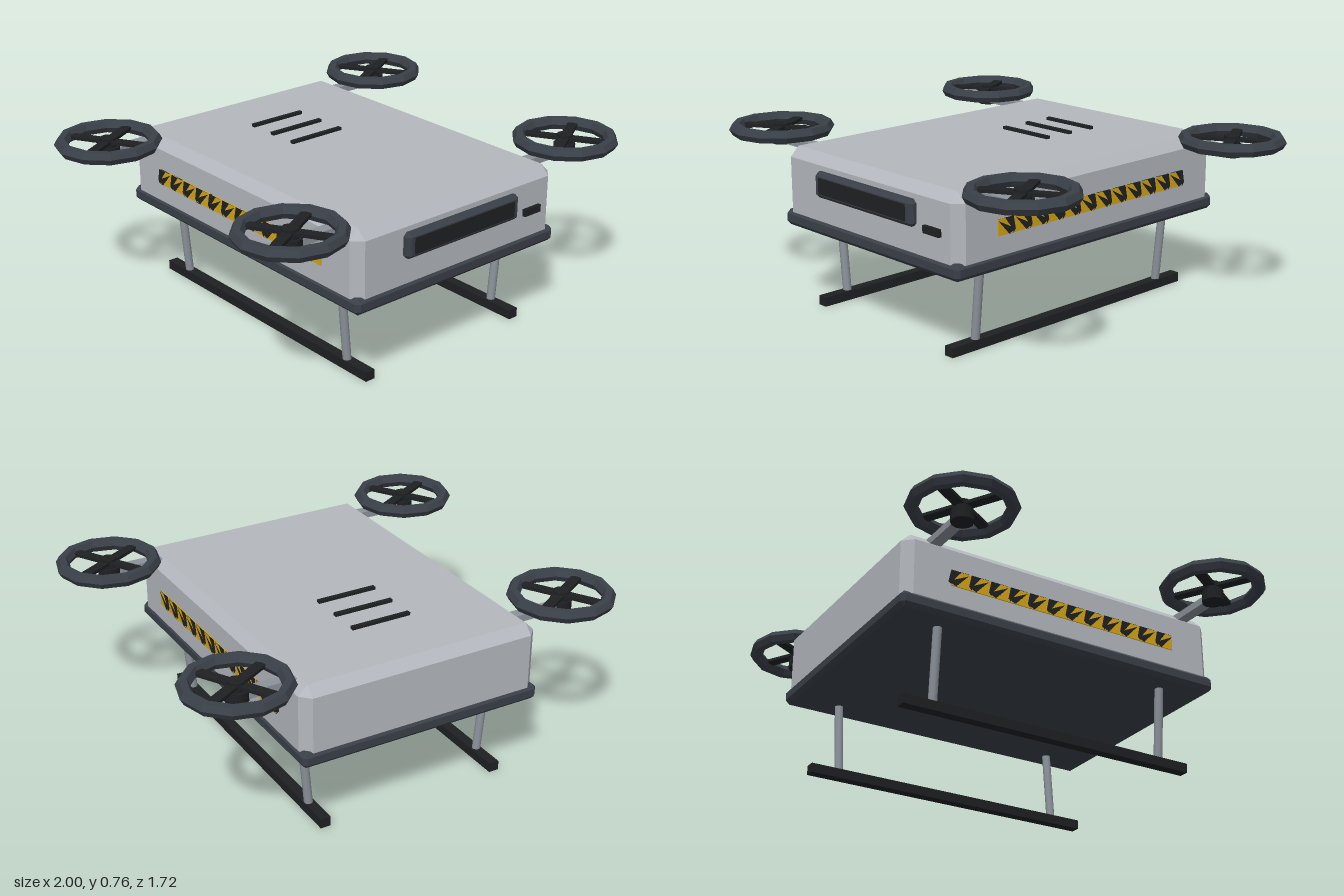
import * as THREE from 'three';
import { ConvexGeometry } from 'three/addons/geometries/ConvexGeometry.js';

const mat = (color) => new THREE.MeshStandardMaterial({ color });
const shell = mat(0xb4b8be);
const trim = mat(0x3a4048);
const black = mat(0x1e2022);
const metal = mat(0x8c939b);
const yellow = mat(0xd4a514);

function add(parent, name, geometry, material, x = 0, y = 0, z = 0) {
  const mesh = new THREE.Mesh(geometry, material);
  mesh.name = name;
  mesh.position.set(x, y, z);
  parent.add(mesh);
  return mesh;
}

const box = (w, h, d) => new THREE.BoxGeometry(w, h, d);

// Box with every edge and corner cut by c
function chamferBox(w, h, d, c) {
  const points = [];
  const [a, b, e] = [w / 2, h / 2, d / 2];
  for (const x of [-1, 1]) for (const y of [-1, 1]) for (const z of [-1, 1]) {
    points.push(
      new THREE.Vector3(x * a, y * (b - c), z * (e - c)),
      new THREE.Vector3(x * (a - c), y * b, z * (e - c)),
      new THREE.Vector3(x * (a - c), y * (b - c), z * e));
  }
  return new ConvexGeometry(points);
}

// Round bar between two points
function rod(parent, name, from, to, radius, material) {
  const dir = to.clone().sub(from);
  const mesh = add(parent, name, new THREE.CylinderGeometry(radius, radius, dir.length(), 10), material);
  mesh.position.copy(from).add(to).multiplyScalar(0.5);
  mesh.quaternion.setFromUnitVectors(new THREE.Vector3(0, 1, 0), dir.normalize());
}

function makeRotor() {
  const rotor = new THREE.Group();
  rotor.name = 'rotor';
  // Faceted guard ring
  const ring = new THREE.TorusGeometry(0.203, 0.03, 6, 12).toNonIndexed();
  ring.rotateX(Math.PI / 2);
  ring.computeVertexNormals();
  add(rotor, 'guardRing', ring, trim, 0, 0.735, 0);
  // Motor hub and crossed blades
  add(rotor, 'motor', new THREE.CylinderGeometry(0.048, 0.048, 0.05, 12), black, 0, 0.69, 0);
  add(rotor, 'motorCap', new THREE.CylinderGeometry(0.035, 0.035, 0.045, 12), black, 0, 0.733, 0);
  for (let i = 0; i < 2; i++) {
    const blade = add(rotor, 'blade', box(0.39, 0.014, 0.045), black, 0, 0.738, 0);
    blade.rotation.y = Math.PI / 6 + i * Math.PI / 2;
  }
  return rotor;
}

// Warning stripe: yellow band crossed by slanted dark bars
function makeHazardBand(side) {
  const band = new THREE.Group();
  band.name = 'hazardBand';
  add(band, 'yellowBand', box(0.012, 0.07, 1.11), yellow, side * 0.553, 0.54, 0);
  const bar = new THREE.Shape([
    new THREE.Vector2(0.018, -0.035), new THREE.Vector2(0.052, 0.035 - 0.055),
    new THREE.Vector2(0.04, 0.035), new THREE.Vector2(0, 0.035)]);
  bar.setFromPoints([[-0.04, 0.035], [-0.005, 0.035], [0.04, -0.022], [0.04, -0.035], [0.015, -0.035], [-0.04, 0.027]]
    .map(([u, v]) => new THREE.Vector2(u, v)));
  const geometry = new THREE.ExtrudeGeometry(bar, { depth: 0.006, bevelEnabled: false });
  geometry.translate(0, 0, -0.003);
  geometry.rotateY(Math.PI / 2);
  for (let i = 0; i < 12; i++) {
    add(band, 'darkBar', geometry, black, side * 0.558, 0.54, 0.515 - i * 0.0936);
  }
  return band;
}

export function createModel() {
  const drone = new THREE.Group();
  drone.name = 'cargoDrone';

  // Cargo body on a dark base tray
  add(drone, 'body', chamferBox(1.11, 0.33, 1.53, 0.042), shell, 0, 0.545, 0);
  add(drone, 'baseTray', chamferBox(1.12, 0.07, 1.55, 0.018), trim, 0, 0.395, 0);

  // Front display and side port
  add(drone, 'frontPanel', chamferBox(0.63, 0.112, 0.05, 0.016), trim, 0, 0.59, 0.77);
  add(drone, 'frontScreen', box(0.56, 0.07, 0.01), black, 0, 0.59, 0.793);
  add(drone, 'frontPort', box(0.095, 0.032, 0.03), black, 0.413, 0.54, 0.765);

  // Roof vents
  for (const z of [-0.42, -0.282, -0.143]) {
    add(drone, 'roofVent', box(0.276, 0.02, 0.02), black, 0, 0.713, z);
  }

  for (const side of [-1, 1]) {
    drone.add(makeHazardBand(side));

    // Landing skid
    add(drone, 'skid', box(0.046, 0.042, 1.39), black, side * 0.418, 0.021, 0);

    for (const end of [-1, 1]) {
      rod(drone, 'skidLeg', new THREE.Vector3(side * 0.452, 0.38, end * 0.555),
        new THREE.Vector3(side * 0.42, 0.03, end * 0.555), 0.019, metal);

      // Rotor arm with rotor
      add(drone, 'rotorArm', box(0.27, 0.032, 0.05), metal, side * 0.635, 0.688, end * 0.627);
      const rotor = makeRotor();
      rotor.position.set(side * 0.767, 0, end * 0.627);
      drone.add(rotor);
    }
  }
  return drone;
}
